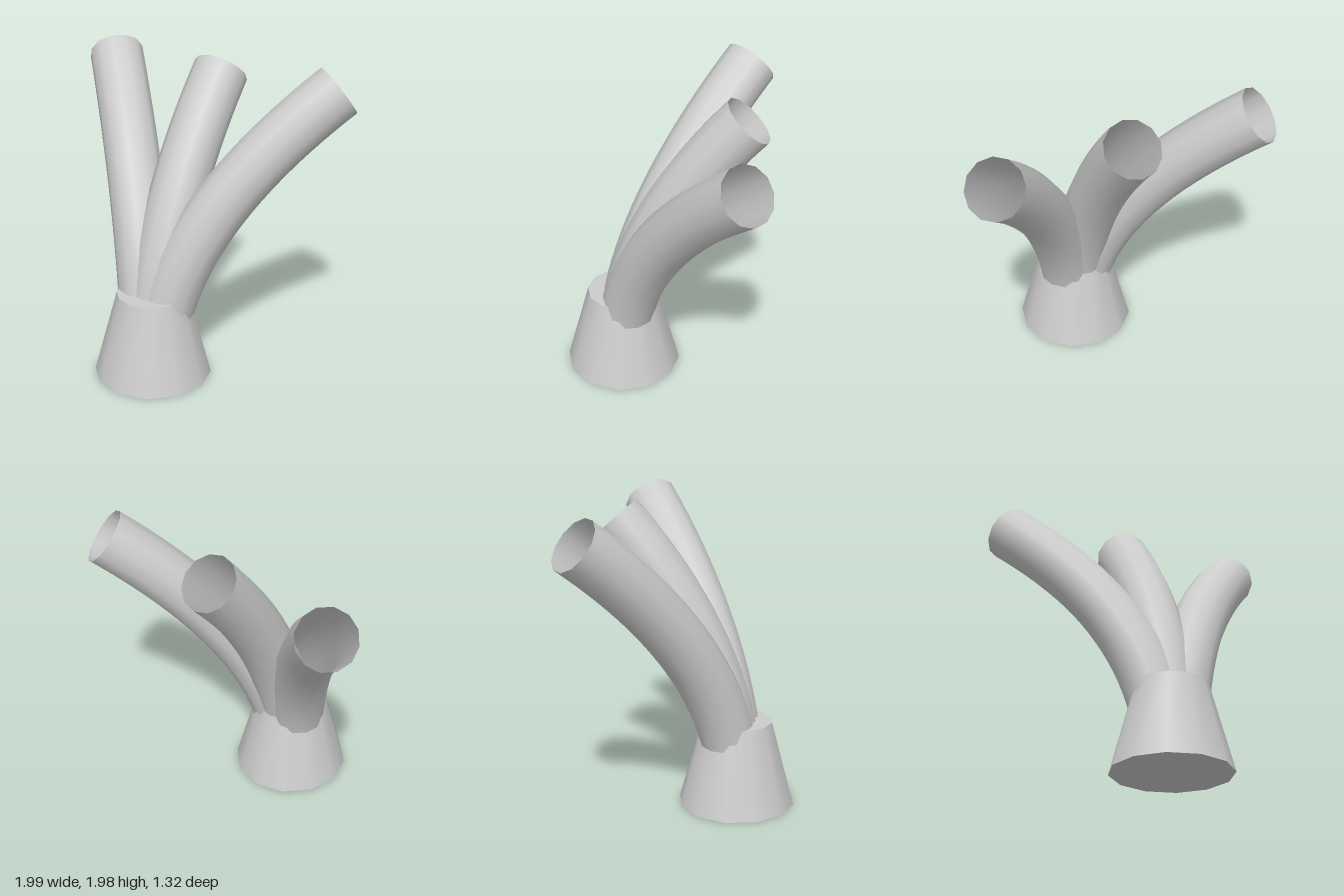
import * as THREE from 'three';

export function createModel() {
  const group = new THREE.Group();
  const grey = new THREE.MeshStandardMaterial({ color: 0xcccccc, side: THREE.DoubleSide });
  grey.name = 'plain grey';

  // Tapered twelve-sided base, set forward of the centre
  const base = new THREE.Mesh(new THREE.CylinderGeometry(0.23, 0.38, 0.56, 12), grey);
  base.name = 'base';
  base.position.set(0, 0.28, 0.28);
  group.add(base);

  // Open hollow tube that rises from the base and bends outwards and back
  function addTube(name, start, bend, end) {
    const path = new THREE.QuadraticBezierCurve3(
      new THREE.Vector3(...start), new THREE.Vector3(...bend), new THREE.Vector3(...end));
    const tube = new THREE.Mesh(new THREE.TubeGeometry(path, 24, 0.181, 12, false), grey);
    tube.name = name;
    group.add(tube);
  }

  addTube('middleTube', [0, 0.02, 0.28], [0, 0.99, 0.28], [0, 1.85, -0.512]);
  for (const [name, s] of [['leftTube', 1], ['rightTube', -1]]) {
    addTube(name, [s * 0.035, 0.02, 0.28], [s * 0.035, 0.98, 0.28], [s * 0.85, 1.845, -0.515]);
  }
  return group;
}
